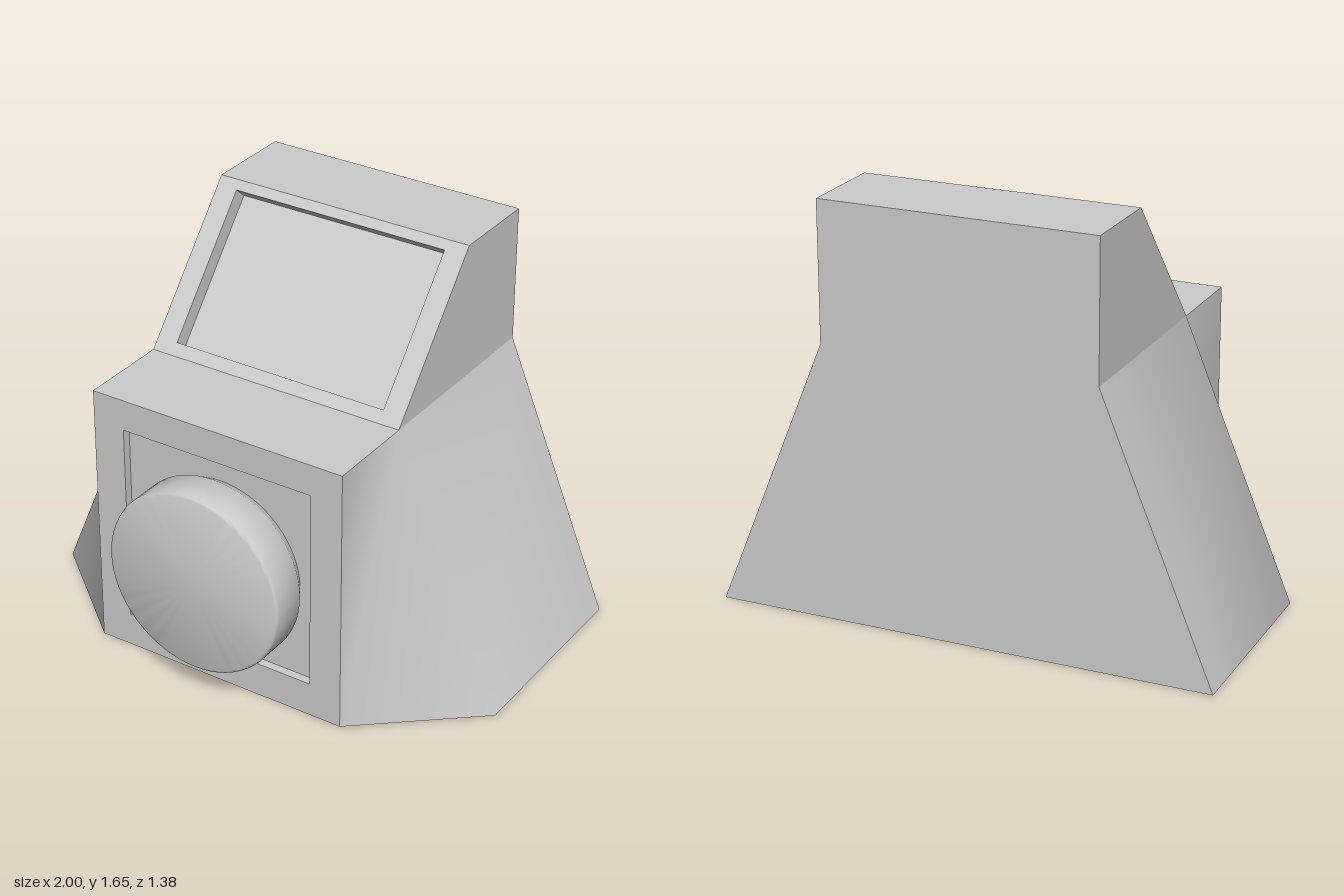
import * as THREE from 'three';
import { toCreasedNormals } from 'three/addons/utils/BufferGeometryUtils.js';

const W = 0.55, BACK = -0.69, FRONT = 0.53, MID = 0.15, DECK = 1.1, TOP = 1.65, FOOT = 1;
const grey = new THREE.MeshStandardMaterial({ color: 0xcccccc });

function part(name, geometry) {
  const mesh = new THREE.Mesh(geometry, grey);
  mesh.name = name;
  return mesh;
}

// flat convex polygons, corners counter-clockwise from outside
function polygons(faces) {
  const pos = [];
  for (const f of faces)
    for (let i = 1; i < f.length - 1; i++) pos.push(...f[0], ...f[i], ...f[i + 1]);
  const g = new THREE.BufferGeometry();
  g.setAttribute('position', new THREE.Float32BufferAttribute(pos, 3));
  return toCreasedNormals(g, 1);
}

const mirror = (face) => face.map(([x, y, z]) => [-x, y, z]).reverse();

// framed panel standing on y = 0, facing +z, with a sunken rectangle
function sunkenPanel(name, height, halfOpening, low, high, depth) {
  const shape = new THREE.Shape();
  shape.moveTo(-W, 0).lineTo(W, 0).lineTo(W, height).lineTo(-W, height).closePath();
  const hole = new THREE.Path();
  hole.moveTo(-halfOpening, low).lineTo(-halfOpening, high).lineTo(halfOpening, high).lineTo(halfOpening, low).closePath();
  shape.holes.push(hole);
  const frame = new THREE.ExtrudeGeometry(shape, { depth, bevelEnabled: false });
  frame.translate(0, 0, -depth);
  const floor = new THREE.PlaneGeometry(halfOpening * 2, high - low);
  floor.translate(0, (low + high) / 2, -depth);
  const group = new THREE.Group();
  group.name = name;
  group.add(part(name + 'Frame', frame), part(name + 'Floor', floor));
  return group;
}

export function createModel() {
  const model = new THREE.Group();
  model.name = 'console';

  // lower body with flared sides
  const sides = [
    [[FOOT, 0, MID], [FOOT, 0, BACK], [W, DECK, BACK], [W, DECK, MID]],
    [[FOOT, 0, MID], [W, DECK, MID], [W, 0, FRONT]],
    [[W, DECK, MID], [W, DECK, FRONT], [W, 0, FRONT]],
  ];
  model.add(part('body', polygons([
    ...sides, ...sides.map(mirror),
    [[-FOOT, 0, BACK], [FOOT, 0, BACK], [FOOT, 0, MID], [W, 0, FRONT], [-W, 0, FRONT], [-FOOT, 0, MID]],
    [[-W, DECK, FRONT], [W, DECK, FRONT], [W, DECK, MID], [-W, DECK, MID]],
    [[FOOT, 0, BACK], [-FOOT, 0, BACK], [-W, DECK, BACK], [W, DECK, BACK]],
  ])));

  // upper housing behind the sloping screen
  const SLOPE = -0.32;
  const cheek = [[W, DECK, MID], [W, DECK, BACK], [W, TOP, BACK], [W, TOP, SLOPE]];
  model.add(part('screenHousing', polygons([
    cheek, mirror(cheek),
    [[-W, TOP, SLOPE], [W, TOP, SLOPE], [W, TOP, BACK], [-W, TOP, BACK]],
    [[W, DECK, BACK], [-W, DECK, BACK], [-W, TOP, BACK], [W, TOP, BACK]],
  ])));

  // sloping screen
  const rise = TOP - DECK, run = MID - SLOPE;
  const screen = sunkenPanel('screen', Math.hypot(rise, run), 0.462, 0.053, 0.682, 0.066);
  screen.position.set(0, DECK, MID);
  screen.rotation.x = -Math.atan2(run, rise);
  model.add(screen);

  // front panel
  const front = sunkenPanel('frontPanel', DECK, 0.415, 0.142, 0.972, 0.035);
  front.position.z = FRONT;
  model.add(front);

  // round knob with softened rims
  const profile = [[0, 0], [0.35, 0], [0.368, 0.03], [0.378, 0.045], [0.378, 0.18], [0.374, 0.191], [0.365, 0.195], [0, 0.195]];
  const knobShape = new THREE.LatheGeometry(profile.map(([r, h]) => new THREE.Vector2(r, h)), 64);
  const knob = part('knob', toCreasedNormals(knobShape, 0.9));
  knob.rotation.x = Math.PI / 2;
  knob.position.set(0, 0.525, 0.495);
  model.add(knob);

  return model;
}
